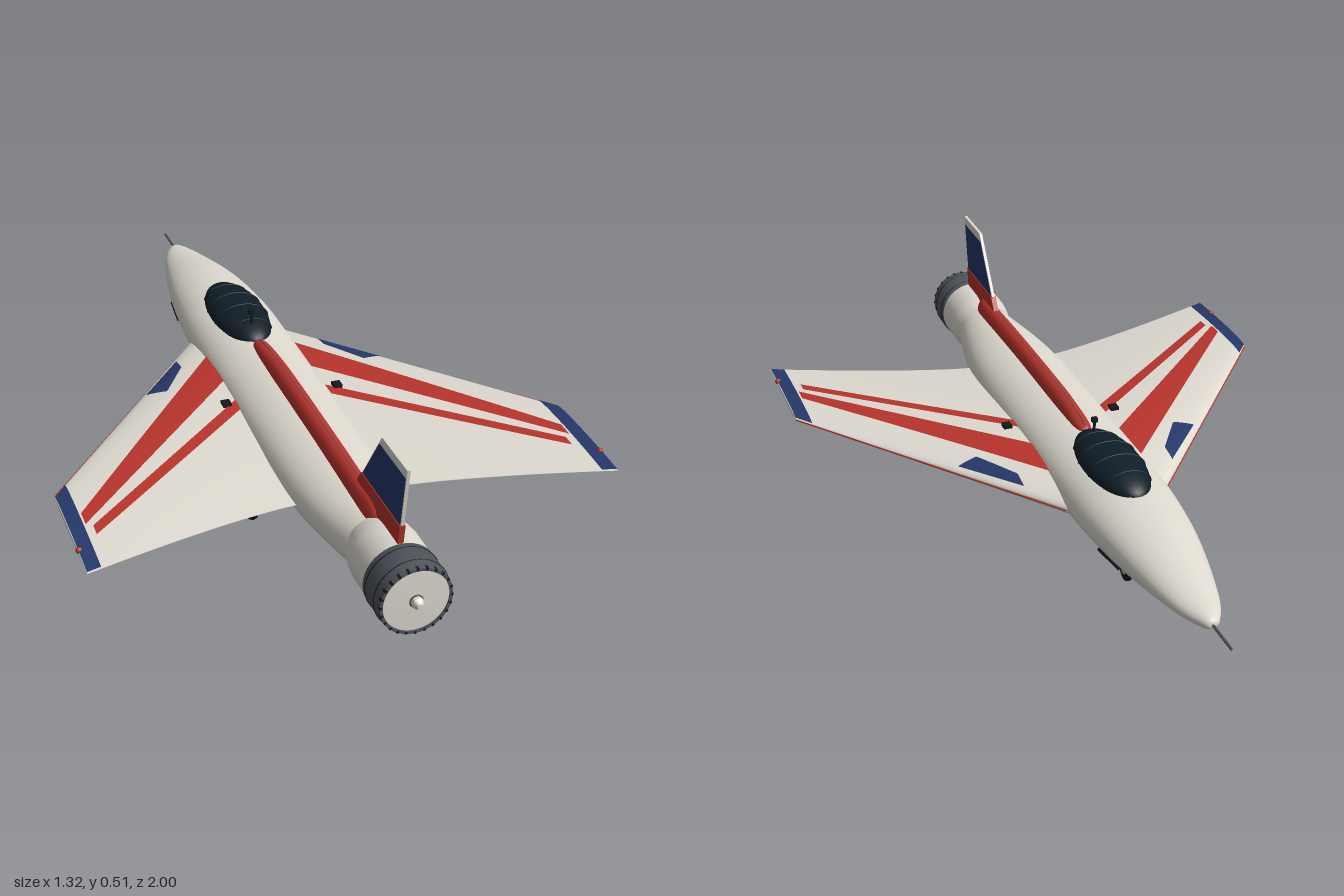
import * as THREE from 'three';
import { mergeVertices, toCreasedNormals } from 'three/addons/utils/BufferGeometryUtils.js';

const mat = (color, extra = {}) => new THREE.MeshStandardMaterial({ color, ...extra });
const white = mat(0xdedad0), red = mat(0xb8342c), navy = mat(0x26386a), steel = mat(0x50545c),
  black = mat(0x16181c), glass = mat(0x0f1e28), grey = mat(0x9a9c9e);

function add(parent, name, geometry, material, x = 0, y = 0, z = 0) {
  const mesh = new THREE.Mesh(geometry, material);
  mesh.name = name;
  mesh.position.set(x, y, z);
  parent.add(mesh);
  return mesh;
}

// Surface of nu x nv cells through point(u, v), facing dv x du
function grid(nu, nv, point) {
  const pos = [], index = [];
  for (let i = 0; i <= nu; i++)
    for (let j = 0; j <= nv; j++) pos.push(...point(i / nu, j / nv));
  for (let i = 0; i < nu; i++)
    for (let j = 0; j < nv; j++) {
      const a = i * (nv + 1) + j, b = a + nv + 1;
      index.push(a, a + 1, b, a + 1, b + 1, b);
    }
  let g = new THREE.BufferGeometry();
  g.setAttribute('position', new THREE.Float32BufferAttribute(pos, 3));
  g.setIndex(index);
  g = mergeVertices(g, 1e-6);
  g.computeVertexNormals();
  return g;
}

// Elliptical loft along z; each section is [z, half width, half height, centre y]
function loft(sections, steps, sides) {
  const curve = (f) => new THREE.CatmullRomCurve3(sections.map(f), false, 'catmullrom', 0.5);
  const size = curve((s) => new THREE.Vector3(s[1], s[2], s[0]));
  const centre = curve((s) => new THREE.Vector3(0, s[3], s[0]));
  return grid(steps, sides, (u, v) => {
    const p = size.getPoint(u), a = (v % 1) * Math.PI * 2;
    return [p.x * Math.cos(a), centre.getPoint(u).y + p.y * Math.sin(a), p.z];
  });
}

// Turned part along z from [radius, z] pairs
const turned = (profile, sides = 40) => toCreasedNormals(
  new THREE.LatheGeometry(profile.map((p) => new THREE.Vector2(...p)), sides).rotateX(Math.PI / 2), 0.6);

function rod(parent, name, a, b, r, material) {
  const path = new THREE.LineCurve3(new THREE.Vector3(...a), new THREE.Vector3(...b));
  return add(parent, name, new THREE.TubeGeometry(path, 1, r, 8), material);
}

// Wing planform and thickness, for x from the root to the tip
const TIP = 0.655;
const lead = (x) => -0.31 + (x - 0.13) * 1.248;
const trail = (x) => 0.53 + 0.14 * Math.pow(Math.max(0, (x - 0.12) / 0.535), 1.3);
const span = (x) => Math.max(0, (x - 0.13) / (TIP - 0.13));
const wingMid = (x) => 0.208 + 0.022 * span(x);
const wingHalf = (x) => 0.038 - 0.031 * span(x);
const foil = (t) => 2.6 * Math.sqrt(t) * (1 - t);
const wingTop = (x, z) => {
  const t = THREE.MathUtils.clamp((z - lead(x)) / (trail(x) - lead(x)), 0, 1);
  return wingMid(x) + wingHalf(x) * foil(t);
};

// Painted patch on the wing top between two chordwise limits
const patch = (x0, x1, zA, zB) => grid(24, 16, (u, v) => {
  const x = x0 + (x1 - x0) * u, z = zA(u, x) + (zB(u, x) - zA(u, x)) * v;
  return [x, wingTop(x, z) + 0.0022, z];
});

function wheel(parent, x, r, width, z) {
  const group = new THREE.Group();
  group.name = 'wheel';
  group.position.set(x, 0, z);
  parent.add(group);
  const w = width / 2;
  const tyre = turned([[0, -w * 0.7], [r * 0.55, -w * 0.7], [r * 0.7, -w], [r * 0.92, -w * 0.75], [r, 0],
    [r * 0.92, w * 0.75], [r * 0.7, w], [r * 0.55, w * 0.7], [0, w * 0.7]], 28).rotateY(Math.PI / 2);
  add(group, 'tyre', tyre, black);
  add(group, 'hub', new THREE.CylinderGeometry(r * 0.4, r * 0.4, width, 20).rotateZ(Math.PI / 2), grey);
  return group;
}

function wingSide(side) {
  const g = new THREE.Group();
  g.name = side > 0 ? 'leftWing' : 'rightWing';
  g.scale.x = side;
  // Wing panel, closed at the tip by a flattened last section
  add(g, 'wingPanel', grid(17, 48, (u, v) => {
    const x = Math.min(TIP, 0.05 + (TIP - 0.05) * u * 17 / 16), h = u === 1 ? 0 : wingHalf(x);
    const t = (1 - Math.cos(v * Math.PI * 2)) / 2;
    const s = v <= 0.5 ? 1 : -1;
    return [x, wingMid(x) + s * h * foil(t), lead(x) + (trail(x) - lead(x)) * t];
  }), white);
  rod(g, 'leadingEdge', [0.13, wingMid(0.13), lead(0.13)], [TIP, wingMid(TIP), lead(TIP)], 0.002, red);
  // Wing markings
  const line = (a, b) => (u) => a + (b - a) * u;
  add(g, 'wideStripe', patch(0.115, 0.615, line(-0.18, 0.445), line(-0.03, 0.49)), red);
  add(g, 'narrowStripe', patch(0.115, 0.6, line(0.07, 0.5), line(0.115, 0.535)), red);
  add(g, 'tipPanel', patch(0.62, TIP, (u, x) => lead(x) + 0.005, (u, x) => trail(x) - 0.005), navy);
  add(g, 'edgePanel', patch(0.2, 0.325, line(-0.195, -0.045),
    (u) => Math.min(-0.145 + 0.2 * u, -0.01 - 0.035 * u)), navy);
  add(g, 'tipLight', new THREE.SphereGeometry(0.008, 12, 8), red, TIP - 0.002, 0.234, 0.58);
  add(g, 'wingFitting', new THREE.BoxGeometry(0.022, 0.012, 0.025), black, 0.15, 0.247, 0.09);
  // Main landing gear
  const gear = new THREE.Group();
  gear.name = 'mainGear';
  gear.position.set(0.14, 0, 0.25);
  g.add(gear);
  wheel(gear, 0, 0.042, 0.024, 0).position.y = 0.042;
  rod(gear, 'strut', [0, 0.045, 0], [0, 0.19, 0], 0.007, grey);
  rod(gear, 'dragBrace', [0, 0.105, 0], [0, 0.16, -0.045], 0.003, grey);
  add(gear, 'mountPlate', new THREE.BoxGeometry(0.05, 0.012, 0.1), black, 0, 0.156, 0);
  add(gear, 'gearDoor', new THREE.BoxGeometry(0.044, 0.018, 0.03), grey, 0, 0.12, 0);
  add(gear, 'axleFork', new THREE.BoxGeometry(0.03, 0.012, 0.012), steel, 0, 0.09, 0);
  return g;
}

export function createModel() {
  const model = new THREE.Group();
  model.name = 'jetAircraft';

  // Fuselage, nose towards -z
  add(model, 'fuselage', loft([[-0.9, 0, 0, 0.215], [-0.885, 0.022, 0.016, 0.215], [-0.8, 0.058, 0.031, 0.216],
    [-0.6, 0.102, 0.063, 0.223], [-0.4, 0.125, 0.078, 0.225], [-0.2, 0.13, 0.083, 0.22], [0, 0.13, 0.084, 0.217],
    [0.2, 0.13, 0.084, 0.216], [0.4, 0.127, 0.082, 0.215], [0.55, 0.115, 0.079, 0.213],
    [0.68, 0.092, 0.073, 0.213], [0.78, 0.07, 0.068, 0.215]], 88, 48), white);
  rod(model, 'noseProbe', [0, 0.215, -1], [0, 0.215, -0.88], 0.0035, steel);

  // Tail collar, nozzle and end plate
  const tail = new THREE.Group();
  tail.name = 'tailEnd';
  tail.position.y = 0.217;
  model.add(tail);
  add(tail, 'tailCollar', turned([[0.06, 0.74], [0.074, 0.742], [0.084, 0.775], [0.087, 0.8], [0.087, 0.885]]), white);
  add(tail, 'nozzle', turned([[0.086, 0.88], [0.089, 0.885], [0.089, 0.955], [0.086, 0.98], [0.079, 0.98],
    [0.079, 0.97]]), steel);
  for (const z of [0.9, 0.95]) add(tail, 'nozzleBand', new THREE.TorusGeometry(0.0885, 0.002, 6, 40), black, 0, 0, z);
  add(tail, 'endPlate', turned([[0.08, 0.968], [0.079, 0.976], [0.014, 0.978], [0.014, 0.99], [0.006, 1], [0, 1]]), white);
  add(tail, 'endHubRing', new THREE.TorusGeometry(0.015, 0.002, 6, 24), steel, 0, 0, 0.979);
  for (let i = 0; i < 24; i++) {
    const a = i / 24 * Math.PI * 2;
    add(tail, 'rimRib', new THREE.BoxGeometry(0.006, 0.006, 0.02), black,
      0.084 * Math.cos(a), 0.084 * Math.sin(a), 0.971).rotation.z = a;
  }

  // Red spine with a dark ridge
  const spine = [[-0.11, 0, 0, 0.3], [-0.08, 0.02, 0.018, 0.298], [0.05, 0.025, 0.034, 0.296], [0.2, 0.026, 0.036, 0.295],
    [0.35, 0.026, 0.036, 0.293], [0.5, 0.026, 0.036, 0.29], [0.65, 0.025, 0.036, 0.285], [0.74, 0.022, 0.034, 0.283],
    [0.77, 0, 0, 0.28]];
  add(model, 'spine', loft(spine, 64, 24), red);
  add(model, 'spineRidge', loft(spine.map(([z, w, h, y]) => [z, w * 0.22, h && h + 0.002, y]), 64, 12), steel);

  // Canopy, shallow below its rim, with thin frames
  const canopy = new THREE.SphereGeometry(1, 40, 24), p = canopy.attributes.position;
  for (let i = 0; i < p.count; i++) if (p.getY(i) < 0) p.setY(i, p.getY(i) * 0.25);
  canopy.scale(0.075, 0.047, 0.178);
  canopy.computeVertexNormals();
  add(model, 'canopy', canopy, glass, 0, 0.296, -0.28);
  for (const k of [-0.6, -0.2, 0.2, 0.6]) {
    const s = Math.sqrt(1 - k * k);
    const frame = new THREE.TorusGeometry(1, 0.025, 6, 32, Math.PI).scale(0.076 * s, 0.048 * s, 0.08);
    add(model, 'canopyFrame', frame, black, 0, 0.296, -0.28 + 0.178 * k);
  }
  rod(model, 'mast', [0, 0.3, -0.155], [0, 0.365, -0.16], 0.004, black);
  add(model, 'mastHead', new THREE.BoxGeometry(0.014, 0.012, 0.012), black, 0, 0.362, -0.16);

  // Swept fin in painted bands
  const finLead = (y) => 0.63 + (y - 0.315) * 0.692, finTrail = (y) => 0.88 + (y - 0.305) * 0.146;
  const band = (name, y0, y1, depth, material, inset = 0) => {
    const shape = new THREE.Shape([[finLead(y0) + inset, y0], [finTrail(y0) - inset, y0], [finTrail(y1) - inset, y1],
      [finLead(y1) + inset, y1]].map((q) => new THREE.Vector2(...q)));
    const g = new THREE.ExtrudeGeometry(shape, { depth, bevelEnabled: false });
    add(model, name, g.translate(0, 0, -depth / 2).rotateY(-Math.PI / 2), material);
  };
  band('fin', 0.29, 0.51, 0.008, white);
  band('finRedBand', 0.289, 0.355, 0.014, red, -0.001);
  band('finBlueBand', 0.355, 0.487, 0.01, navy, 0.003);

  // Belly panel and nose slots
  add(model, 'bellyPanel', new THREE.BoxGeometry(0.13, 0.022, 0.38), white, 0, 0.138, -0.03);
  for (const s of [1, -1])
    for (const [x, y, r] of [[0.098, 0.196, 0.012], [0.07, 0.174, 0.01]])
      rod(model, 'noseSlot', [s * x, y, -0.59], [s * (x + r), y - 0.004, -0.48], 0.004, black);

  // Nose gear
  const gear = new THREE.Group();
  gear.name = 'noseGear';
  gear.position.z = -0.385;
  model.add(gear);
  wheel(gear, 0, 0.031, 0.018, 0).position.y = 0.055;
  rod(gear, 'strut', [0, 0.055, 0], [0, 0.17, 0], 0.005, grey);
  rod(gear, 'dragBrace', [0, 0.11, 0], [0, 0.15, -0.05], 0.003, grey);
  add(gear, 'gearDoor', new THREE.BoxGeometry(0.03, 0.014, 0.012), grey, 0, 0.118, 0);

  model.add(wingSide(1), wingSide(-1));
  return model;
}
